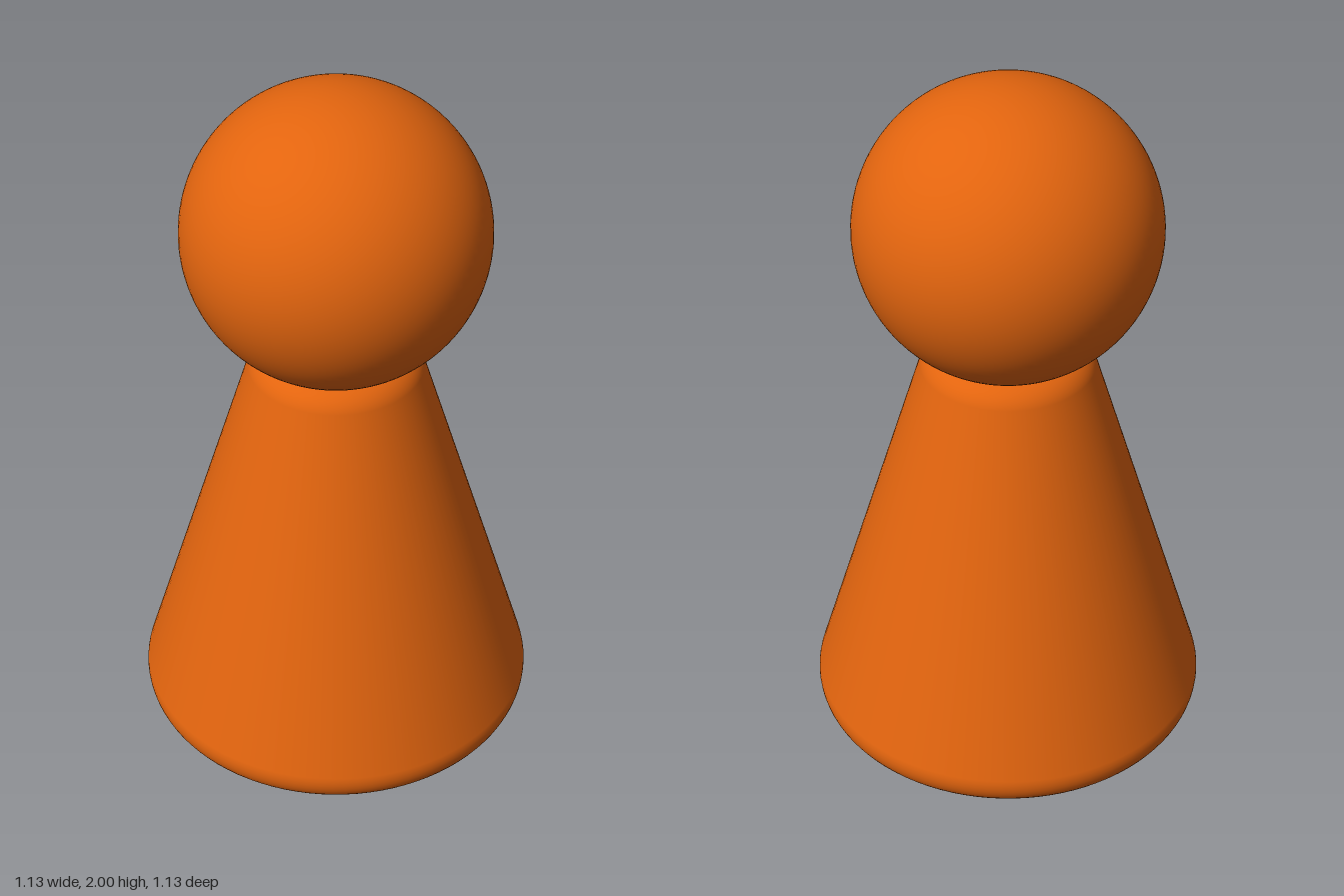
import * as THREE from 'three';

// Points of a rounded corner in the profile, angles in radians
function corner(cx, cy, r, from, to, steps = 12) {
  const pts = [];
  for (let i = 0; i <= steps; i++) {
    const a = from + (to - from) * i / steps;
    pts.push(new THREE.Vector2(cx + r * Math.cos(a), cy + r * Math.sin(a)));
  }
  return pts;
}

export function createModel() {
  const group = new THREE.Group();
  group.name = 'pawn';
  const orange = new THREE.MeshStandardMaterial({ color: 0xe2640e });
  orange.name = 'orange';

  // Conical body with rounded rims at the base and the shoulder
  const r = 0.085, baseX = 0.48, topX = 0.163, topY = 1.22 - r;
  const tilt = Math.atan2(baseX - topX, topY - r); // lean of the side wall
  const profile = [
    new THREE.Vector2(0, 0),
    ...corner(baseX, r, r, -Math.PI / 2, tilt),
    ...corner(topX, topY, r, tilt, Math.PI / 2),
    new THREE.Vector2(0, 1.22),
  ];
  const body = new THREE.Mesh(new THREE.LatheGeometry(profile, 96), orange);
  body.name = 'body';
  group.add(body);

  // Round head resting in the shoulder
  const head = new THREE.Mesh(new THREE.SphereGeometry(0.418, 96, 64), orange);
  head.name = 'head';
  head.position.y = 2 - 0.418;
  group.add(head);

  return group;
}
